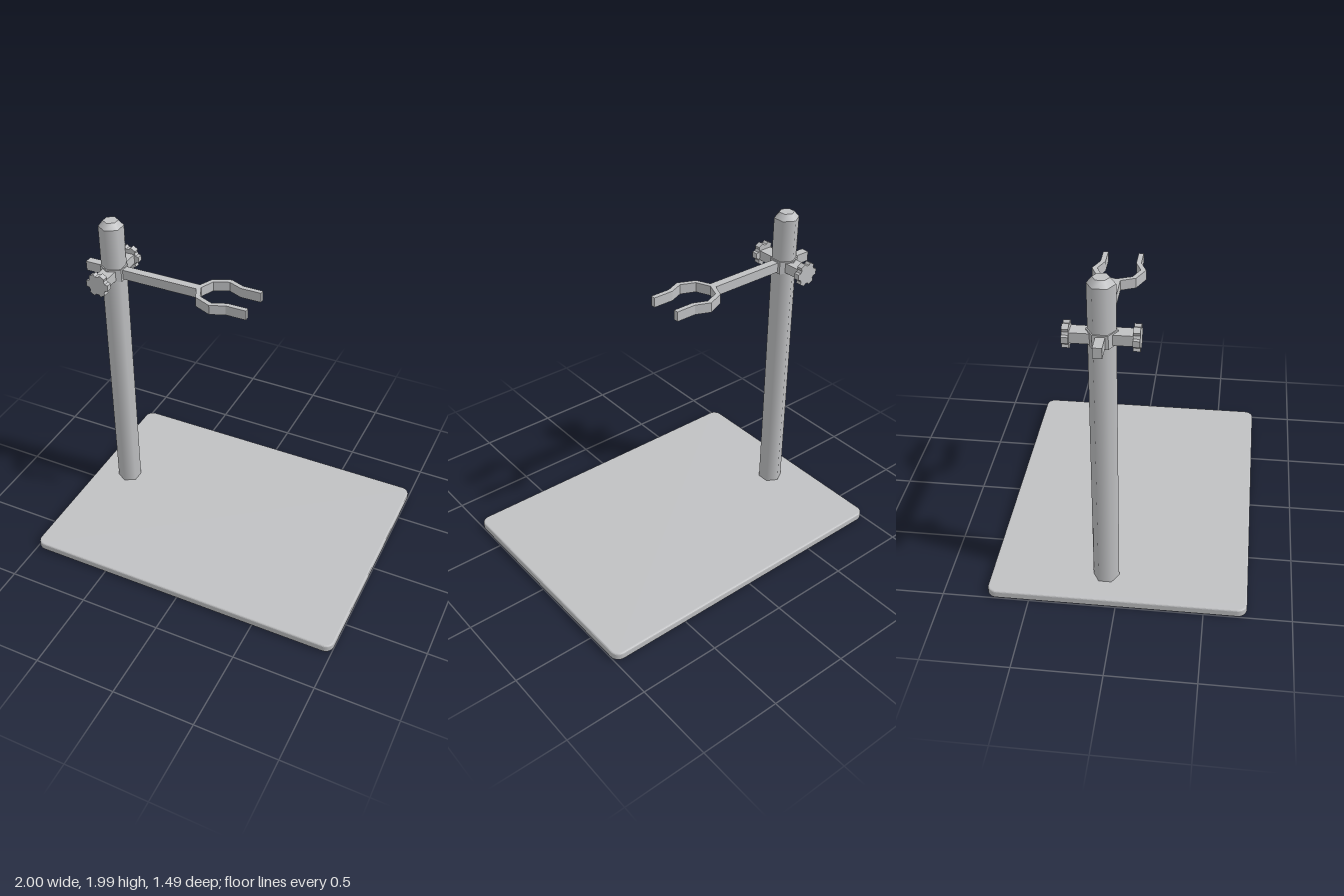
import * as THREE from 'three';

const PX = -0.785, PZ = -0.077, ARM_Y = 1.655;

// Rounded rectangle outline
function roundedRect(hx, hz, r) {
  const s = new THREE.Shape();
  s.absarc(hx - r, hz - r, r, 0, Math.PI / 2);
  s.absarc(-hx + r, hz - r, r, Math.PI / 2, Math.PI);
  s.absarc(-hx + r, -hz + r, r, Math.PI, Math.PI * 1.5);
  s.absarc(hx - r, -hz + r, r, Math.PI * 1.5, Math.PI * 2);
  s.closePath();
  return s;
}

// Outline with six blunt lobes
function lobedShape() {
  const pts = [];
  for (let i = 0; i < 6; i++) {
    const a = i * Math.PI / 3;
    for (const [da, r] of [[-0.38, 0.058], [-0.24, 0.073], [0.24, 0.073], [0.38, 0.058]]) {
      pts.push(new THREE.Vector2(Math.cos(a + da) * r, Math.sin(a + da) * r));
    }
  }
  return new THREE.Shape(pts);
}

export function createModel() {
  const group = new THREE.Group();
  const metal = new THREE.MeshStandardMaterial({ color: 0xc0c1c3 });
  metal.name = 'greyMetal';

  function add(name, geometry, x = 0, y = 0, z = 0) {
    const mesh = new THREE.Mesh(geometry, metal);
    mesh.name = name;
    mesh.position.set(x, y, z);
    group.add(mesh);
    return mesh;
  }

  // Base plate with softened edges
  const plate = new THREE.ExtrudeGeometry(roundedRect(0.99, 0.735, 0.045), {
    depth: 0.03, bevelEnabled: true, bevelThickness: 0.01, bevelSize: 0.01,
    bevelSegments: 3, curveSegments: 6,
  });
  plate.rotateX(-Math.PI / 2);
  add('basePlate', plate, 0, 0.01, 0);

  // Six-sided pole with a chamfered tip
  add('pole', new THREE.CylinderGeometry(0.075, 0.075, 1.91, 6), PX, 0.995, PZ);
  add('poleTip', new THREE.CylinderGeometry(0.046, 0.075, 0.035, 6), PX, 1.9675, PZ);

  // Clamp collar and cross bar
  add('clampCollar', new THREE.CylinderGeometry(0.083, 0.083, 0.078, 6).toNonIndexed(), PX, ARM_Y, PZ)
    .geometry.computeVertexNormals();
  add('clampBar', new THREE.BoxGeometry(0.085, 0.06, 0.33), PX, ARM_Y, PZ);

  // Lobed knobs at both ends of the bar
  for (const side of [-1, 1]) {
    const knob = new THREE.ExtrudeGeometry(lobedShape(), { depth: 0.036, bevelEnabled: false });
    knob.translate(0, 0, -0.018);
    add(side > 0 ? 'frontKnob' : 'backKnob', knob, PX, ARM_Y, PZ + side * 0.181);
  }

  // Arm ending in an open fork, outlined in plan and mirrored across its axis
  const outer = [[-0.962, 0.025], [-0.23, 0.025], [-0.192, 0.108], [-0.087, 0.153], [0, 0.117], [0.125, 0.117]];
  const inner = [[0.125, 0.088], [-0.002, 0.088], [-0.087, 0.122], [-0.174, 0.086], [-0.21, 0]];
  const half = [...outer, ...inner];
  const mirrored = half.slice(0, -1).reverse().map(([x, z]) => [x, -z]);
  const outline = [...half, ...mirrored].map(([x, z]) => new THREE.Vector2(x, z));
  const arm = new THREE.ExtrudeGeometry(new THREE.Shape(outline), { depth: 0.06, bevelEnabled: false });
  arm.rotateX(-Math.PI / 2);
  add('forkArm', arm, 0, ARM_Y - 0.03, PZ);

  return group;
}
